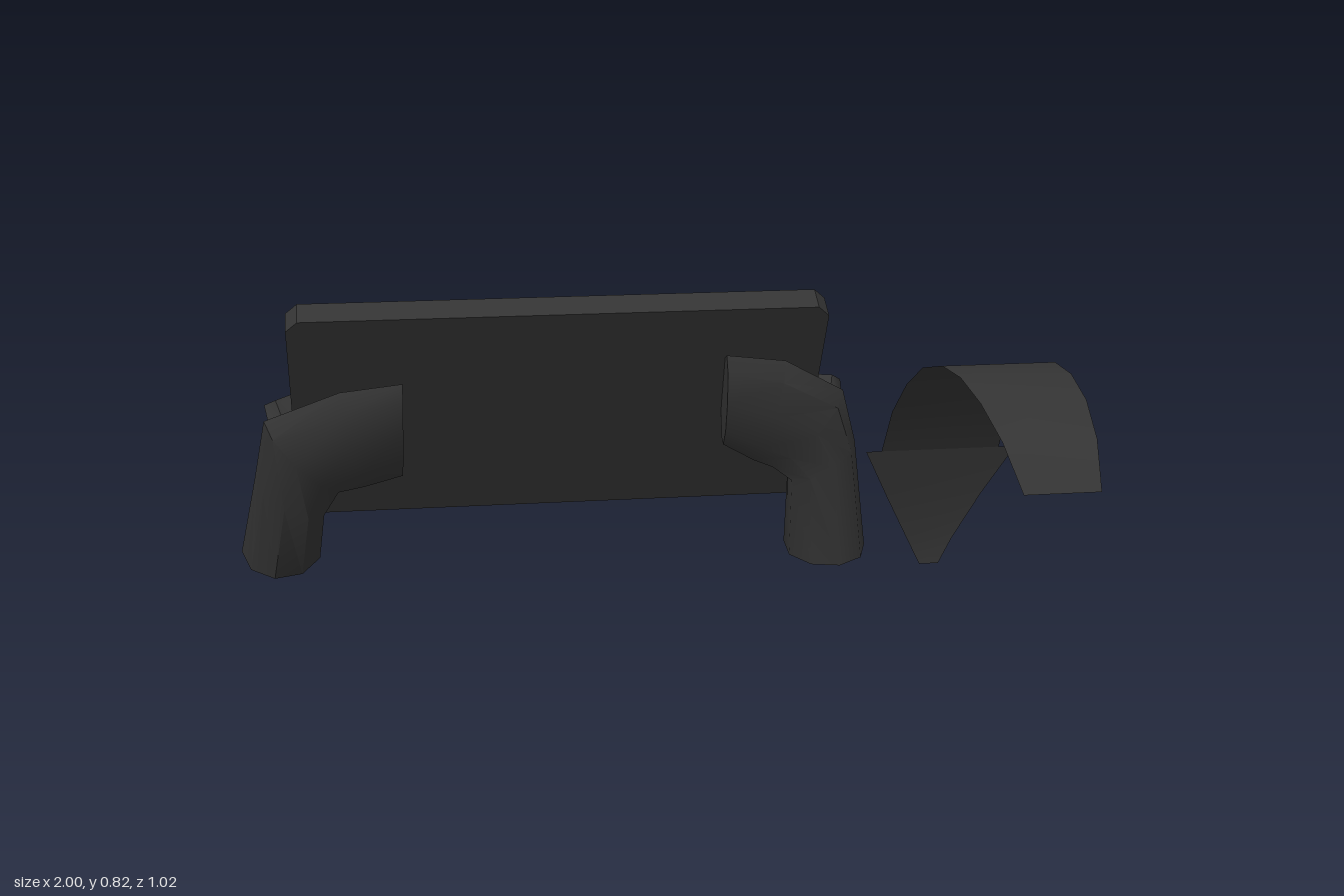
import * as THREE from 'three';
import { toCreasedNormals } from 'three/addons/utils/BufferGeometryUtils.js';

const V = (a) => new THREE.Vector3(...a);
const dark = new THREE.MeshStandardMaterial({ color: 0x333333 });
const darkThin = new THREE.MeshStandardMaterial({ color: 0x333333, side: THREE.DoubleSide });

function part(name, geometry, material = dark) {
  const mesh = new THREE.Mesh(geometry, material);
  mesh.name = name;
  return mesh;
}

// Closed loft through elliptical rings [centre, half axis u, half axis v]
function loft(rings, sides = 9) {
  const pos = [], idx = [];
  for (const [c, u, v] of rings) {
    for (let j = 0; j < sides; j++) {
      const a = (j / sides) * Math.PI * 2;
      pos.push(...V(c).addScaledVector(V(u), Math.cos(a)).addScaledVector(V(v), Math.sin(a)).toArray());
    }
  }
  for (let i = 0; i < rings.length - 1; i++) {
    for (let j = 0; j < sides; j++) {
      const a = i * sides + j, b = i * sides + ((j + 1) % sides);
      idx.push(a, b, a + sides, b, b + sides, a + sides);
    }
  }
  // End caps
  const last = (rings.length - 1) * sides;
  for (let j = 1; j < sides - 1; j++) {
    idx.push(0, j + 1, j, last, last + j, last + j + 1);
  }
  const g = new THREE.BufferGeometry();
  g.setAttribute('position', new THREE.Float32BufferAttribute(pos, 3));
  g.setIndex(idx);
  return toCreasedNormals(g, 0.7);
}

// Round rings along a short path, for the thumbs
function tubeRings(points, radii) {
  return points.map((p, i) => {
    const d = V(points[Math.min(i + 1, points.length - 1)]).sub(V(points[Math.max(i - 1, 0)])).normalize();
    const u = new THREE.Vector3(0, 1, 0).addScaledVector(d, -d.y).normalize();
    const v = d.clone().cross(u);
    return [p, u.multiplyScalar(radii[i]).toArray(), v.multiplyScalar(radii[i]).toArray()];
  });
}

function makeHand(name, armRings, thumbPath) {
  const hand = new THREE.Group();
  hand.name = name;
  hand.add(part('forearmAndPalm', loft(armRings)));
  hand.add(part('thumb', loft(tubeRings(thumbPath, [0.04, 0.042, 0.026]), 6)));
  return hand;
}

// Rectangle outline with cut corners
function cutRect(Type, w, h, c) {
  const x = w / 2, y = h / 2;
  return new Type([
    [-x + c, -y], [x - c, -y], [x, -y + c], [x, y - c],
    [x - c, y], [-x + c, y], [-x, y - c], [-x, -y + c],
  ].map((p) => new THREE.Vector2(...p)));
}

// Tilted slab with a slightly sunken screen on its rear upper face
function makeTablet() {
  const tablet = new THREE.Group();
  tablet.name = 'tablet';
  const w = 1.275, h = 0.643, t = 0.064, recess = 0.008;
  const body = new THREE.ExtrudeGeometry(cutRect(THREE.Shape, w, h, 0.028), { depth: t - recess, bevelEnabled: false });
  body.translate(0, 0, -t / 2 + recess);
  tablet.add(part('body', body));

  const rim = cutRect(THREE.Shape, w, h, 0.028);
  const hole = new THREE.Path();
  hole.moveTo(-0.56, -0.295).lineTo(-0.56, 0.28).lineTo(0.56, 0.28).lineTo(0.56, -0.295).closePath();
  rim.holes.push(hole);
  const bezel = new THREE.ExtrudeGeometry(rim, { depth: recess, bevelEnabled: false });
  bezel.translate(0, 0, -t / 2);
  tablet.add(part('screenBezel', bezel));

  tablet.rotation.x = Math.PI / 6;
  tablet.position.set(-0.2125, 0.528, -0.3);
  return tablet;
}

// Flat ribbon through rows [y, z, half width] centred on x
function ribbon(rows, x) {
  const pos = [], idx = [];
  rows.forEach(([y, z, w], i) => {
    pos.push(x - w, y, z, x + w, y, z);
    if (i) {
      const a = 2 * i - 2;
      idx.push(a, a + 1, a + 2, a + 1, a + 3, a + 2);
    }
  });
  const g = new THREE.BufferGeometry();
  g.setAttribute('position', new THREE.Float32BufferAttribute(pos, 3));
  g.setIndex(idx);
  g.computeVertexNormals();
  return g;
}

function makeArrow() {
  const arrow = new THREE.Group();
  arrow.name = 'curvedArrow';
  arrow.add(part('arrowBand', ribbon([
    [0.5, 0.51, 0.087], [0.59, 0.41, 0.107], [0.647, 0.29, 0.122], [0.675, 0.16, 0.131],
    [0.672, 0.03, 0.137], [0.635, -0.11, 0.143], [0.565, -0.23, 0.148], [0.465, -0.34, 0.153],
    [0.34, -0.415, 0.157],
  ], 0.798), darkThin));
  arrow.add(part('arrowHead', ribbon([
    [0.34, -0.415, 0.2], [0.2, -0.463, 0.128], [0.07, -0.488, 0.061], [0, -0.488, 0.026],
  ], 0.8), darkThin));
  return arrow;
}

export function createModel() {
  const model = new THREE.Group();
  model.name = 'tiltedTabletInHands';
  model.add(makeTablet(), makeArrow());

  // Rings run from the sleeve end through the wrist to the fingertips
  model.add(makeHand('leftHand', [
    [[0.47, 0.125, -0.312], [0.105, 0, 0], [0, 0.02, -0.103]],
    [[0.447, 0.37, -0.27], [0.085, 0.045, 0], [0, 0.01, -0.08]],
    [[0.4, 0.46, -0.245], [0.085, 0.1, 0.03], [0, 0.02, -0.07]],
    [[0.3, 0.515, -0.222], [0.03, 0.135, 0.055], [0, 0.03, -0.054]],
    [[0.19, 0.545, -0.215], [-0.005, 0.124, 0.055], [0, 0.02, -0.038]],
  ], [[0.46, 0.49, -0.26], [0.468, 0.54, -0.32], [0.41, 0.545, -0.352]]));

  model.add(makeHand('rightHand', [
    [[-0.9, 0.143, -0.425], [-0.1, 0, 0], [0, -0.048, 0.086]],
    [[-0.865, 0.33, -0.295], [-0.083, 0.045, 0], [0, -0.03, 0.075]],
    [[-0.83, 0.435, -0.255], [-0.085, 0.1, 0.045], [0, -0.025, 0.065]],
    [[-0.71, 0.475, -0.242], [-0.025, 0.13, 0.06], [0, -0.03, 0.054]],
    [[-0.59, 0.493, -0.24], [0.003, 0.128, 0.06], [0, -0.02, 0.038]],
  ], [[-0.87, 0.48, -0.26], [-0.88, 0.53, -0.31], [-0.83, 0.545, -0.352]]));

  return model;
}
